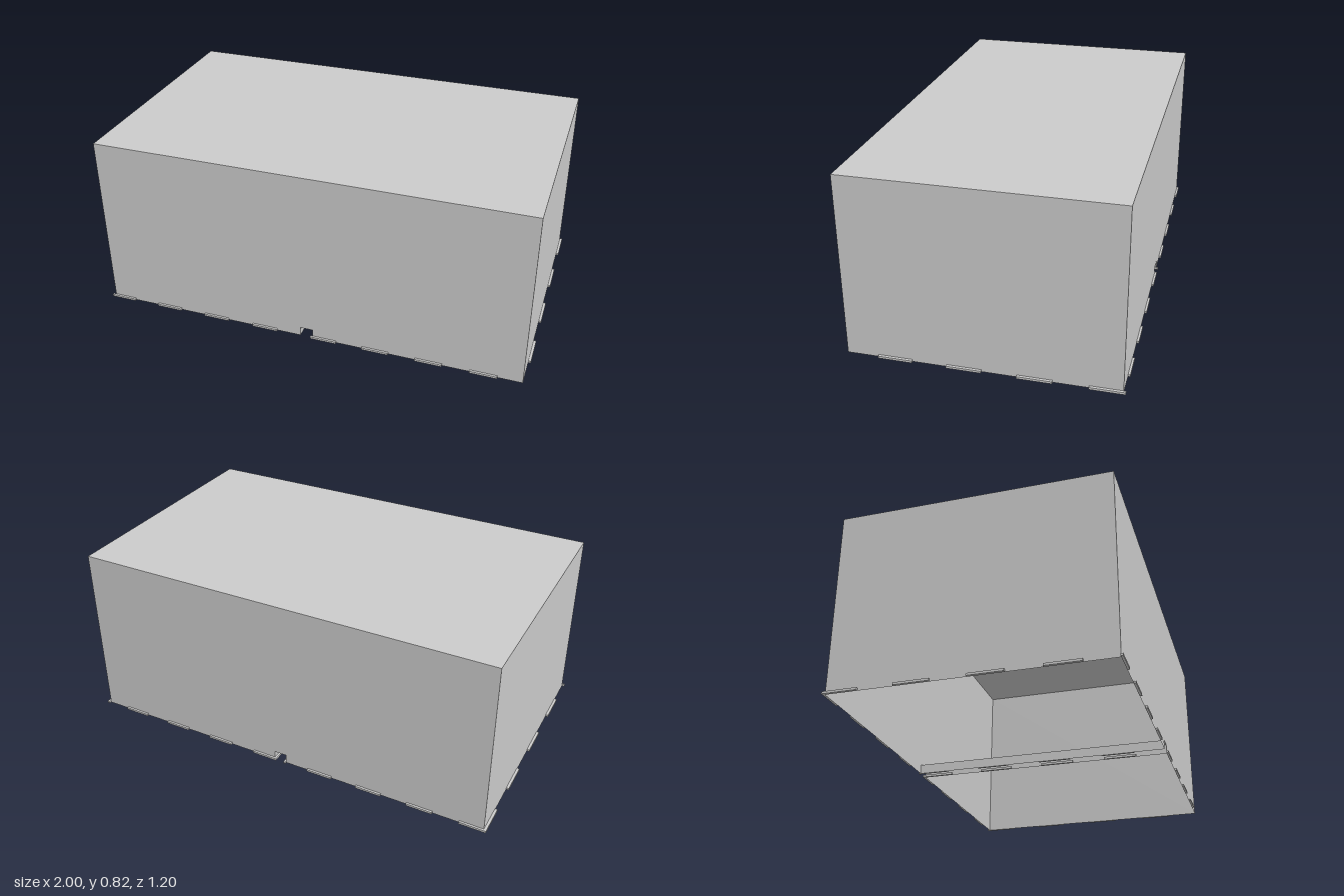
import * as THREE from 'three';

const W = 0.988, D = 0.59, H = 0.825; // half width, half depth, height of the shell
const SLOT = 0.03, SLOT_H = 0.043;    // half width and height of the floor channel
const LIP = 0.01;                     // tab height and overhang

export function createModel() {
  const group = new THREE.Group();
  group.name = 'openCover';
  const mat = new THREE.MeshStandardMaterial({ color: 0xcccccc, side: THREE.DoubleSide, flatShading: true });

  const add = (name, geo, x = 0, y = 0, z = 0, rx = 0, ry = 0) => {
    const mesh = new THREE.Mesh(geo, mat);
    mesh.name = name;
    mesh.position.set(x, y, z);
    mesh.rotation.set(rx, ry, 0);
    group.add(mesh);
  };
  const box = (name, x0, x1, z0, z1) =>
    add(name, new THREE.BoxGeometry(x1 - x0, LIP, z1 - z0), (x0 + x1) / 2, LIP / 2, (z0 + z1) / 2);

  // Front and back walls, notched where the channel passes through
  const wall = new THREE.Shape([
    [-W, 0], [-SLOT, 0], [-SLOT, SLOT_H], [SLOT, SLOT_H], [SLOT, 0], [W, 0], [W, H], [-W, H],
  ].map(([x, y]) => new THREE.Vector2(x, y)));
  add('frontWall', new THREE.ShapeGeometry(wall), 0, 0, D);
  add('backWall', new THREE.ShapeGeometry(wall), 0, 0, -D, 0, Math.PI);

  // Roof; the underside stays open
  add('roof', new THREE.PlaneGeometry(2 * W, 2 * D), 0, H, 0, -Math.PI / 2);

  // Channel roof
  add('channelRoof', new THREE.PlaneGeometry(2 * SLOT, 2 * D), 0, SLOT_H, 0, -Math.PI / 2);

  for (const s of [-1, 1]) {
    const side = s > 0 ? 'left' : 'right';
    add(side + 'Wall', new THREE.PlaneGeometry(2 * D, H), s * W, H / 2, 0, 0, s * Math.PI / 2);
    add(side + 'ChannelWall', new THREE.PlaneGeometry(2 * D, SLOT_H), s * SLOT, SLOT_H / 2, 0, 0, -s * Math.PI / 2);

    // Tabs around the rim of each half: every second of eight segments
    for (let i = 0; i < 4; i++) {
      const x = (s > 0 ? 0.02 : -1) + i * 0.245;
      box('frontTab', x, x + 0.1225, D, D + LIP);
      box('backTab', x, x + 0.1225, -D - LIP, -D);
      const z = -0.6 + i * 0.3;
      const outer = [s * W, s], inner = [s * (SLOT - LIP), s * SLOT];
      box(side + 'Tab', Math.min(...outer), Math.max(...outer), z, z + 0.15);
      box(side + 'ChannelTab', Math.min(...inner), Math.max(...inner), z, z + 0.15);
    }
  }
  return group;
}
